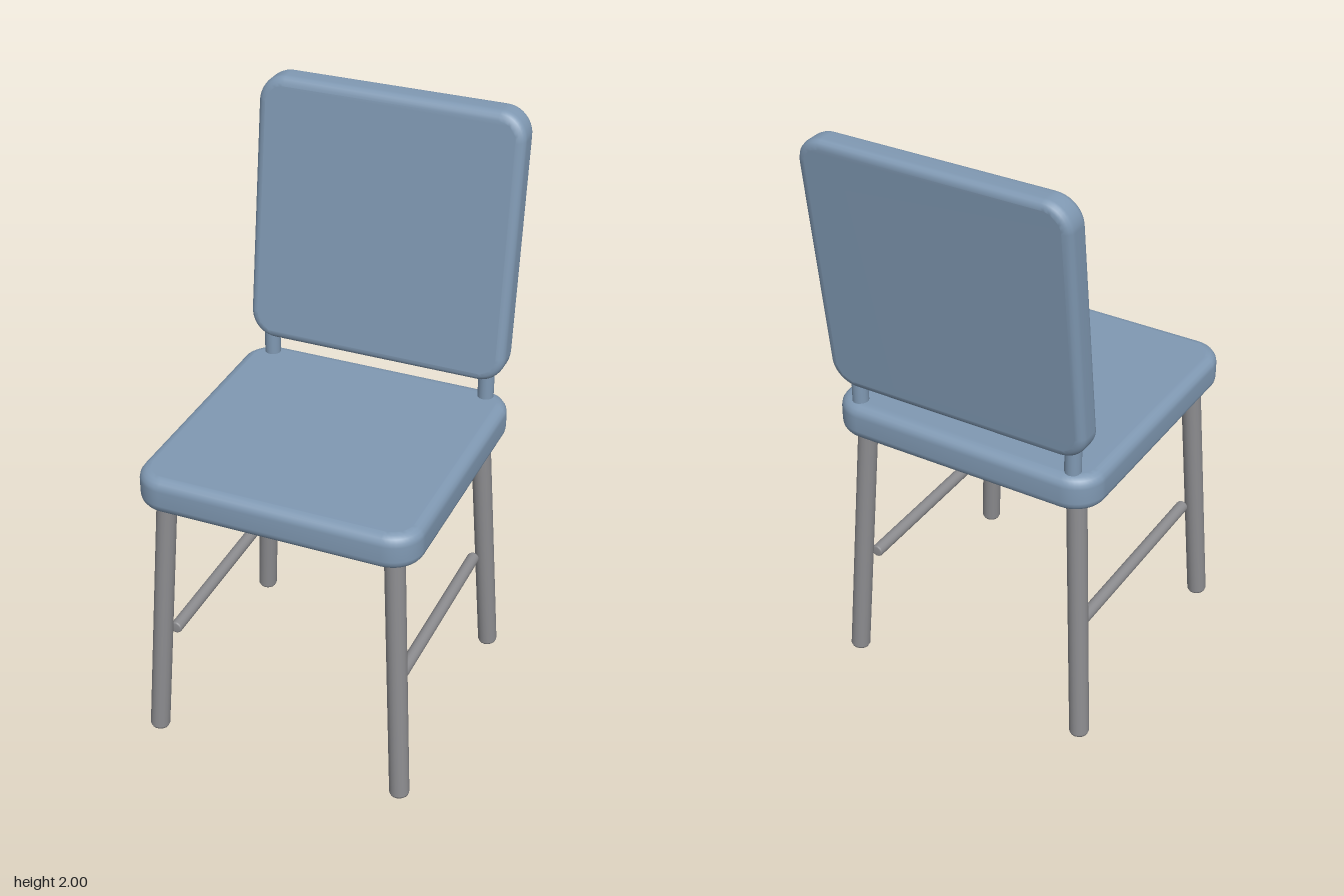
import * as THREE from 'three';
import { mergeVertices } from 'three/addons/utils/BufferGeometryUtils.js';

// Rounded-corner slab in the XY plane, softly bevelled, centred on the origin
function cushion(w, h, t, corner, bevel) {
  const x = w / 2 - bevel, y = h / 2 - bevel, r = corner - bevel;
  const s = new THREE.Shape();
  s.absarc(x - r, y - r, r, 0, Math.PI / 2);
  s.absarc(-x + r, y - r, r, Math.PI / 2, Math.PI);
  s.absarc(-x + r, -y + r, r, Math.PI, Math.PI * 1.5);
  s.absarc(x - r, -y + r, r, Math.PI * 1.5, Math.PI * 2);
  s.closePath();
  const g = new THREE.ExtrudeGeometry(s, {
    depth: t - 2 * bevel, bevelThickness: bevel, bevelSize: bevel, bevelSegments: 4, curveSegments: 5,
  });
  g.translate(0, 0, bevel - t / 2);
  g.deleteAttribute('uv');
  g.deleteAttribute('normal');
  const smooth = mergeVertices(g, 1e-4);
  smooth.computeVertexNormals();
  return smooth;
}

// Round bar between two points with softened ends
function bar(name, a, b, radius, bevel, material) {
  const from = new THREE.Vector3(...a), to = new THREE.Vector3(...b);
  const len = from.distanceTo(to), k = bevel * 0.3;
  const profile = [
    [0, 0], [radius - bevel, 0], [radius - k, k], [radius, bevel],
    [radius, len - bevel], [radius - k, len - k], [radius - bevel, len], [0, len],
  ].map(([x, y]) => new THREE.Vector2(x, y));
  const mesh = new THREE.Mesh(new THREE.LatheGeometry(profile, 16), material);
  mesh.name = name;
  mesh.position.copy(from);
  mesh.quaternion.setFromUnitVectors(new THREE.Vector3(0, 1, 0), to.sub(from).normalize());
  return mesh;
}

export function createModel() {
  const chair = new THREE.Group();
  chair.name = 'chair';
  const blue = new THREE.MeshStandardMaterial({ color: 0x8099b3 });
  blue.name = 'slate blue';
  const grey = new THREE.MeshStandardMaterial({ color: 0x8c8c8f });
  grey.name = 'metal grey';

  // Seat
  const seat = new THREE.Mesh(cushion(0.95, 0.95, 0.122, 0.105, 0.035), blue);
  seat.name = 'seat';
  seat.rotation.x = -Math.PI / 2;
  seat.position.set(0, 0.966, 0.06);
  chair.add(seat);

  // Backrest, leaning back with level top and bottom edges
  const backGeometry = cushion(0.91, 0.9, 0.1, 0.09, 0.028);
  backGeometry.applyMatrix4(new THREE.Matrix4().set(
    1, 0, 0, 0,
    0, 1, 0, 0,
    0, -0.13, 1, 0,
    0, 0, 0, 1,
  ));
  backGeometry.computeVertexNormals();
  const back = new THREE.Mesh(backGeometry, blue);
  back.name = 'backrest';
  back.position.set(0, 1.55, -0.422);
  chair.add(back);

  for (const [side, s] of [['left', 1], ['right', -1]]) {
    // Posts, splayed legs and side stretcher
    chair.add(bar(side + 'BackPost', [s * 0.388, 0.98, -0.36], [s * 0.388, 1.16, -0.36], 0.027, 0.004, blue));
    chair.add(bar(side + 'FrontLeg', [s * 0.436, 0.003, 0.495], [s * 0.384, 0.95, 0.448], 0.033, 0.012, grey));
    chair.add(bar(side + 'BackLeg', [s * 0.436, 0.003, -0.375], [s * 0.384, 0.95, -0.328], 0.033, 0.012, grey));
    chair.add(bar(side + 'Stretcher', [s * 0.386, 0.392, -0.322], [s * 0.386, 0.392, 0.442], 0.021, 0.006, grey));
  }
  return chair;
}
